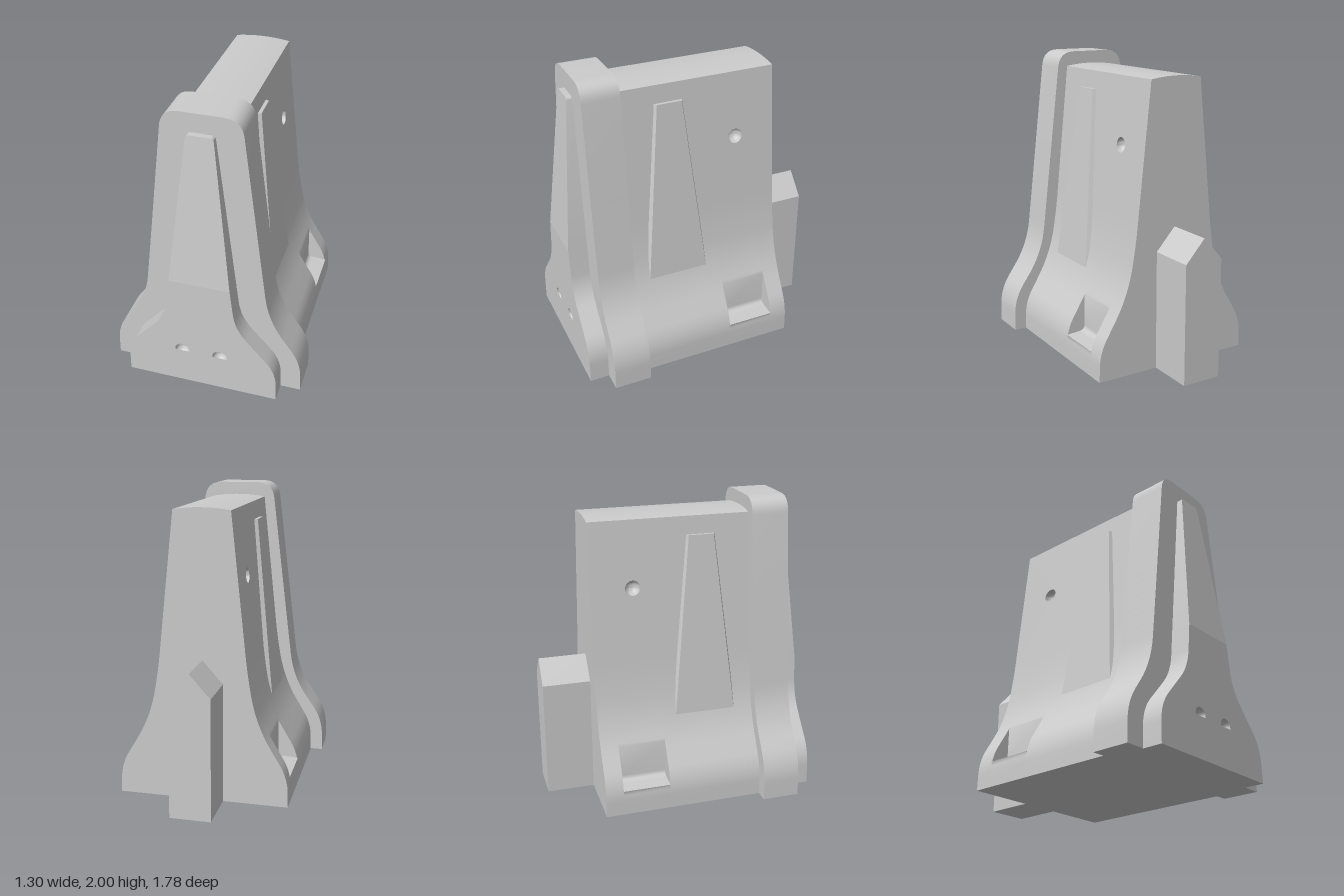
import * as THREE from 'three';
import { toCreasedNormals } from 'three/addons/utils/BufferGeometryUtils.js';

const V = (x, y) => new THREE.Vector2(x, y);

// Right half of an outline: corners [x, y, rounding length] become smooth curves.
function halfOutline(corners) {
  const out = [];
  corners.forEach(([x, y, r], i) => {
    const c = V(x, y);
    if (!r) return out.push(c);
    const toward = (j) => V(corners[j][0], corners[j][1]).sub(c).normalize().multiplyScalar(r).add(c);
    out.push(...new THREE.QuadraticBezierCurve(toward(i - 1), c, toward(i + 1)).getPoints(10));
  });
  return out;
}

// Closed shape from a right half, mirrored across x = 0.
const mirrored = (half) =>
  new THREE.Shape([...half, ...half.map((p) => V(-p.x, p.y)).reverse()]);

function addHole(shape, x, y, r) {
  shape.holes.push(new THREE.Path().absarc(x, y, r, 0, Math.PI * 2, true));
}

function extrude(shape, z0, z1) {
  const g = new THREE.ExtrudeGeometry(shape, { depth: z1 - z0, bevelEnabled: false, curveSegments: 16 });
  return g.translate(0, 0, z0);
}

// Move every vertex of a geometry by a rule.
function reshape(g, rule) {
  const p = g.attributes.position;
  const v = new THREE.Vector3();
  for (let i = 0; i < p.count; i++) {
    rule(v.fromBufferAttribute(p, i));
    p.setXYZ(i, v.x, v.y, v.z);
  }
  g.computeVertexNormals();
  return g;
}

export function createModel() {
  const model = new THREE.Group();
  const grey = new THREE.MeshStandardMaterial({ color: 0xcccccc });
  const hollow = new THREE.MeshStandardMaterial({ color: 0xcccccc, side: THREE.DoubleSide });
  const add = (name, geometry, material = grey) => {
    const mesh = new THREE.Mesh(toCreasedNormals(geometry, 0.45), material);
    mesh.name = name;
    model.add(mesh);
    return mesh;
  };

  const back = -0.57, bodyFront = 0.51, flangeFront = 0.76, panelFront = 0.89;
  const seam = 1.0, bodyTop = 1.9;
  const bodyHalf = (y) => 0.28 - ((y - seam) * 0.095) / 0.9;

  // Lower body: flared foot, with a notched slice for the side pockets
  const foot = halfOutline([
    [0.565, 0], [0.56, 0.2, 0.1], [0.355, 0.54, 0.18], [0.296, 0.85, 0.14], [0.28, seam],
  ]);
  const pocketed = [
    ...foot.filter((p) => p.y < 0.17),
    ...halfOutline([[0.56, 0.17], [0.425, 0.18, 0.04], [0.422, 0.43]]),
    ...foot.filter((p) => p.y > 0.432),
  ];
  add('lowerBodyBack', extrude(mirrored(foot), back, -0.45));
  add('lowerBodyPockets', extrude(mirrored(pocketed), -0.45, -0.13));
  add('lowerBodyFront', extrude(mirrored(foot), -0.13, bodyFront));

  // Upper body: side silhouette with a hole, narrowed towards the top
  const side = new THREE.Shape([
    V(-bodyFront, seam), V(-back, seam), V(-back, bodyTop), V(-bodyFront, bodyTop),
  ]);
  addHole(side, 0.29, 1.46, 0.05);
  add('upperBody', reshape(extrude(side, -1, 1).rotateY(Math.PI / 2), (v) => {
    v.x *= bodyHalf(v.y);
  }));

  // Gently arched top
  const arch = new THREE.Shape();
  arch.moveTo(0.185, bodyTop);
  arch.quadraticCurveTo(0, bodyTop + 0.03, -0.185, bodyTop);
  add('topArch', extrude(arch, back, bodyFront));

  // Front flange
  add('flange', extrude(mirrored(halfOutline([
    [0.65, 0], [0.645, 0.24, 0.12], [0.42, 0.56, 0.18], [0.365, 1.0, 0.25],
    [0.243, 2.0, 0.11], [0, 2.0],
  ])), bodyFront, flangeFront));

  // Front panel: straight lower part, upper part leaning back
  const panel = halfOutline([
    [0.515, 0], [0.51, 0.24, 0.11], [0.235, 0.55, 0.12], [0.085, 1.875, 0.025], [0, 1.875],
  ]);
  const bend = 0.85;
  const bendPoint = V(0.201, bend);
  const lowerPanel = mirrored([...panel.filter((p) => p.y < bend), bendPoint]);
  for (const x of [-0.13, 0.13]) addHole(lowerPanel, x, 0.275, 0.05);
  add('frontPanelLower', extrude(lowerPanel, flangeFront, panelFront));
  const upperPanel = mirrored([bendPoint, ...panel.filter((p) => p.y > bend)]);
  add('frontPanelUpper', reshape(extrude(upperPanel, flangeFront, panelFront), (v) => {
    if (v.z > flangeFront + 0.01) v.z -= (v.y - bend) * 0.09;
  }));

  // Rear key with a gabled top
  add('rearKey', extrude(mirrored([V(0.135, 0), V(0.135, 0.8), V(0, 0.95)]), -0.89, back));

  const bowl = () => new THREE.SphereGeometry(0.05, 32, 10, 0, Math.PI * 2, 0, Math.PI / 2);
  for (const s of [-1, 1]) {
    // Raised tapering rib on each side
    add('sideRib', reshape(new THREE.BoxGeometry(1, 1, 1), (v) => {
      const outer = v.x * s > 0, top = v.y > 0;
      const half = (top ? 0.085 : 0.215) + (outer ? 0 : 0.04);
      v.set(
        s * ((top ? 0.22 : 0.366) - (outer ? 0 : 0.08)),
        top ? 1.78 : 0.5,
        0.175 + Math.sign(v.z) * half,
      );
    }));
    // Rounded bottoms of the blind holes
    add('sideHole', bowl().rotateZ((s * Math.PI) / 2), hollow)
      .position.set(s * (bodyHalf(1.46) - 0.006), 1.46, -0.29);
    add('frontHole', bowl().rotateX(-Math.PI / 2), hollow)
      .position.set(s * 0.13, 0.275, panelFront);
  }
  return model;
}
